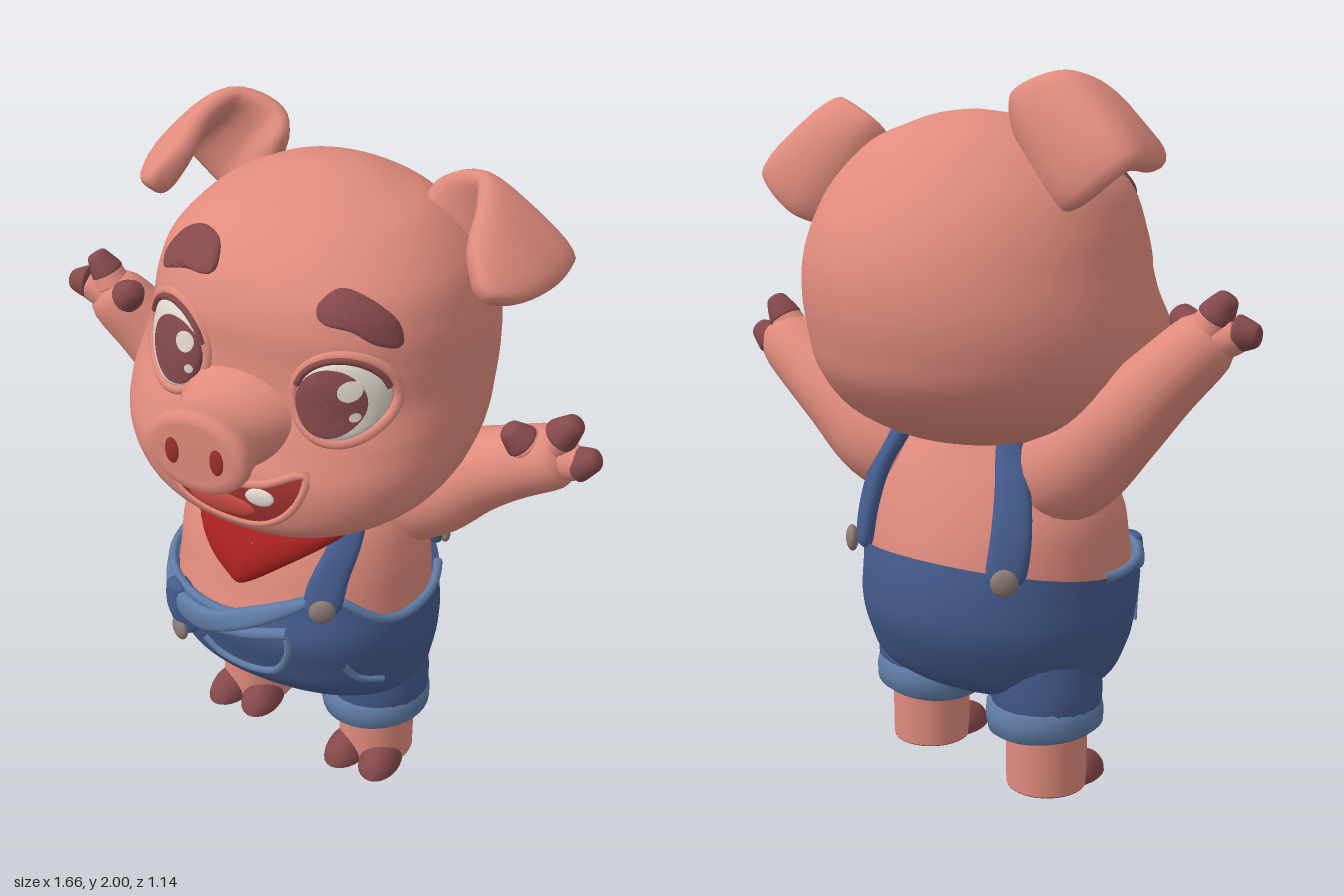
import * as THREE from 'three';
import { ParametricGeometry } from 'three/addons/geometries/ParametricGeometry.js';

const paint = (name, color, side = THREE.FrontSide) => {
  const m = new THREE.MeshStandardMaterial({ color, side });
  m.name = name;
  return m;
};
const V = (x, y, z) => new THREE.Vector3(x, y, z);
const TAU = Math.PI * 2;
const spow = (a, e) => Math.sign(a) * Math.pow(Math.abs(a), e);

// Smooth interpolation through table rows, t in 0..1
function sample(rows, t) {
  const n = rows.length, f = THREE.MathUtils.clamp(t, 0, 1) * (n - 1);
  const i = Math.min(Math.floor(f), n - 2), k = f - i;
  const at = j => rows[Math.min(Math.max(j, 0), n - 1)];
  return rows[0].map((_, c) => {
    const p0 = at(i - 1)[c], p1 = at(i)[c], p2 = at(i + 1)[c], p3 = at(i + 2)[c];
    const a = (p2 - p0) / 2, b = (p3 - p1) / 2;
    return (2 * p1 - 2 * p2 + a + b) * k ** 3 + (-3 * p1 + 3 * p2 - 2 * a - b) * k * k + a * k + p1;
  });
}
function sectionAt(rows, y) {
  let lo = 0, hi = 1;
  for (let i = 0; i < 22; i++) {
    const m = (lo + hi) / 2;
    if (sample(rows, m)[0] < y) lo = m; else hi = m;
  }
  return sample(rows, lo);
}
// Point on a horizontal section [y, xMin, xMax, zFront, zBack, frontSquareness]
function onSection([y, x0, x1, zf, zb, n], th, inset = 0) {
  const c = Math.cos(th), s = Math.sin(th), e = 2 / (s > 0 ? n : 2);
  return V((x0 + x1) / 2 + ((x1 - x0) / 2 - inset) * spow(c, e), y, (zf + zb) / 2 + ((zf - zb) / 2 - inset) * spow(s, e));
}
const frontOf = rows => (x, y) => {
  const [, x0, x1, zf, zb, n] = sectionAt(rows, y);
  const d = Math.min(Math.abs(x - (x0 + x1) / 2) / ((x1 - x0) / 2), 0.99);
  return (zf + zb) / 2 + (zf - zb) / 2 * Math.pow(1 - Math.pow(d, n), 1 / n);
};

const HEAD = [
  [0.955, 0.02, 0.0204, 0.08, 0.0796, 2], [0.97, -0.12, 0.17, 0.25, -0.1, 2.1], [1.0, -0.24, 0.29, 0.35, -0.26, 2.2],
  [1.04, -0.34, 0.38, 0.41, -0.36, 2.4], [1.1, -0.43, 0.45, 0.435, -0.45, 2.5], [1.2, -0.48, 0.485, 0.435, -0.53, 2.6],
  [1.3, -0.49, 0.49, 0.395, -0.56, 2.6], [1.4, -0.475, 0.49, 0.355, -0.572, 2.4], [1.5, -0.45, 0.485, 0.34, -0.56, 2.4],
  [1.6, -0.425, 0.465, 0.33, -0.52, 2.4], [1.7, -0.38, 0.42, 0.285, -0.45, 2.4], [1.8, -0.28, 0.32, 0.185, -0.35, 2.1],
  [1.85, -0.18, 0.2, 0.07, -0.27, 2], [1.878, -0.1, 0.11, -0.03, -0.19, 2], [1.89, 0.01, 0.0104, -0.1, -0.1004, 2]];
const BODY = [
  [0.25, -0.02, -0.0196, -0.08, -0.0804], [0.265, -0.21, 0.18, 0.05, -0.21], [0.31, -0.365, 0.34, 0.175, -0.3],
  [0.4, -0.41, 0.38, 0.27, -0.36], [0.5, -0.425, 0.39, 0.31, -0.4], [0.6, -0.425, 0.385, 0.335, -0.405],
  [0.7, -0.42, 0.38, 0.31, -0.39], [0.8, -0.41, 0.37, 0.28, -0.36], [0.9, -0.36, 0.34, 0.24, -0.32],
  [1.0, -0.27, 0.27, 0.18, -0.27], [1.1, -0.2, 0.2, 0.12, -0.22]].map(r => [...r, 2.2]);
const headZ = frontOf(HEAD), bodyZ = frontOf(BODY);

export function createModel() {
  const skin = paint('pink skin', 0xe08b7d), brown = paint('hoof brown', 0x85494b);
  const white = paint('eye white', 0xe0d8d0), mouthRed = paint('mouth red', 0x9c302e);
  const tongueRed = paint('tongue red', 0xc84a44), red = paint('scarf red', 0xac2121);
  const denim = paint('denim blue', 0x455c8e, THREE.DoubleSide), pale = paint('pale denim', 0x607ca6);
  const metal = paint('button grey', 0x8a7a75);
  const root = new THREE.Group();

  const add = (name, mat, geo) => {
    const m = new THREE.Mesh(geo, mat);
    m.name = name;
    root.add(m);
    return m;
  };
  const surface = (name, mat, f, us, vs) => add(name, mat, new ParametricGeometry((u, v, p) => p.copy(f(u, v)), us, vs));

  // Closed outline (counterclockwise) laid on a front surface as a thin domed patch
  function patch(name, mat, zAt, outline, off, bulge = 0) {
    const curve = new THREE.CatmullRomCurve3(outline.map(([x, y]) => V(x, y, 0)), true);
    const c = outline.reduce((s, [x, y]) => s.add(V(x, y, 0)), V(0, 0, 0)).divideScalar(outline.length);
    return surface(name, mat, (u, v) => {
      const skirt = Math.min(v / 0.15, 1), r = Math.max(0.01, 1 - Math.max(0, v - 0.15) / 0.85);
      const p = curve.getPoint(u).lerp(c, 1 - r);
      p.z = zAt(p.x, p.y) - 0.01 + (off + 0.01) * skirt + bulge * Math.sqrt(1 - r * r);
      return p;
    }, 40, 13);
  }
  const oval = (x, y, rx, ry, n = 10) => Array.from({ length: n }, (_, i) => [x + rx * Math.cos(i / n * TAU), y + ry * Math.sin(i / n * TAU)]);

  // Flat padded strip between two edge curves
  function ribbon(name, mat, A, B, thick) {
    const a = new THREE.CatmullRomCurve3(A), b = new THREE.CatmullRomCurve3(B);
    const mid = t => a.getPoint(t).add(b.getPoint(t)).multiplyScalar(0.5);
    return surface(name, mat, (u, v) => {
      const half = b.getPoint(v).sub(a.getPoint(v)).multiplyScalar(0.5);
      const tan = mid(Math.min(v + 0.02, 1)).sub(mid(Math.max(v - 0.02, 0)));
      const n = half.clone().cross(tan).normalize();
      const k = Math.sqrt(Math.max(0, 1 - Math.abs(2 * v - 1) ** 16)) + 0.01, ph = -u * TAU;
      return mid(v).addScaledVector(half, k * spow(Math.cos(ph), 0.75)).addScaledVector(n, k * thick * spow(Math.sin(ph), 0.75));
    }, 20, 28);
  }
  // Strap hugging the body through [angle, height] points
  const strap = (name, path, half, thick) => {
    const edge = s => path.map(([th, y]) => onSection(sectionAt(BODY, y), th + s * half, -0.008));
    return ribbon(name, denim, edge(-1), edge(1), thick);
  };

  // Round limb through rows of [x, y, z, radius]
  const limb = (name, mat, rows) => surface(name, mat, (u, v) => {
    const [x, y, z, r] = sample(rows, v);
    const q = sample(rows, v + 0.02), o = sample(rows, v - 0.02);
    const t = V(q[0] - o[0], q[1] - o[1], q[2] - o[2]).normalize();
    const n1 = V(0, 0, 1).cross(t).normalize(), n2 = t.clone().cross(n1);
    const k = r * (Math.sqrt(Math.max(0, 1 - Math.abs(2 * v - 1) ** 12)) + 0.01);
    return V(x, y, z).addScaledVector(n1, k * Math.cos(u * TAU)).addScaledVector(n2, k * Math.sin(u * TAU));
  }, 24, 24);
  const rope = (name, mat, pts, r, closed = false) =>
    add(name, mat, new THREE.TubeGeometry(new THREE.CatmullRomCurve3(pts, closed), 40, r, 8, closed));
  const ball = (name, mat, pos, scale, turn = 0) => {
    const m = add(name, mat, new THREE.SphereGeometry(1, 24, 16));
    m.position.set(...pos);
    m.scale.set(...scale);
    m.rotation.y = turn;
    return m;
  };

  // Head and snout
  surface('head', skin, (u, v) => onSection(sample(HEAD, v), -u * TAU), 64, 56);
  const snoutProfile = [[0.2, 0.3], [0.172, 0.35], [0.148, 0.4], [0.135, 0.45], [0.139, 0.5], [0.15, 0.53], [0.149, 0.552],
    [0.135, 0.566], [0.11, 0.567], [0, 0.567]].map(p => new THREE.Vector2(...p));
  const snout = add('snout', skin, new THREE.LatheGeometry(snoutProfile, 40).rotateX(Math.PI / 2));
  snout.scale.y = 0.77;
  snout.position.set(-0.015, 1.337, 0);
  for (const x of [-0.078, 0.052]) ball('nostril', mouthRed, [x, 1.337, 0.567], [0.02, 0.038, 0.006]);

  // Mouth
  const lips = [[0.205, 1.245], [0.1, 1.205], [0, 1.19], [-0.1, 1.205], [-0.215, 1.25], [-0.195, 1.18], [-0.13, 1.115], [-0.02, 1.085], [0.1, 1.093], [0.18, 1.155]];
  patch('mouth', mouthRed, headZ, lips, 0.004);
  rope('lips', skin, lips.map(([x, y]) => V(x * 1.04, (y - 1.17) * 1.08 + 1.17, headZ(x, y) - 0.003)), 0.012, true);
  patch('tongue', tongueRed, headZ, oval(-0.015, 1.125, 0.1, 0.032), 0.006, 0.008);
  patch('tooth', white, headZ, oval(0.1, 1.173, 0.04, 0.024), 0.008, 0.006);

  // Eyes: white, iris, glints, lids
  for (const [x, y, rx, ry, ix, gx] of [[-0.227, 1.482, 0.108, 0.112, -0.207, -0.167], [0.262, 1.445, 0.108, 0.105, 0.245, 0.295]]) {
    const eyeZ = (px, py) => headZ(px, py) + 0.005 + 0.03 * Math.sqrt(Math.max(0, 1 - ((px - x) / rx) ** 2 - ((py - y) / ry) ** 2));
    patch('eyeWhite', white, headZ, oval(x, y, rx, ry), 0.005, 0.03);
    patch('iris', brown, eyeZ, oval(ix, y - 0.004, 0.087, 0.09), 0.005);
    patch('glint', white, eyeZ, oval(gx, y + 0.036, 0.027, 0.027), 0.009);
    patch('smallGlint', white, eyeZ, oval(gx + 0.015, y - 0.035, 0.012, 0.012), 0.009);
    const rim = (k, a0, a1, n, off) => Array.from({ length: n }, (_, i) => {
      const a = a0 + (a1 - a0) * i / (n - 1), px = x + rx * k * Math.cos(a), py = y + ry * k * Math.sin(a);
      return V(px, py, headZ(px, py) + off);
    });
    rope('eyelid', skin, rim(1.1, 0, TAU * 15 / 16, 16, -0.005), 0.016, true);
    rope('lashLine', brown, rim(1.03, 0.3, Math.PI - 0.3, 10, 0.012), 0.009);
  }
  patch('rightBrow', brown, headZ, [[-0.115, 1.7], [-0.13, 1.752], [-0.2, 1.764], [-0.28, 1.73], [-0.315, 1.67], [-0.3, 1.65], [-0.265, 1.662], [-0.2, 1.685]], 0.012, 0.022);
  patch('leftBrow', brown, headZ, [[0.38, 1.58], [0.363, 1.64], [0.295, 1.695], [0.22, 1.715], [0.188, 1.685], [0.2, 1.65], [0.28, 1.628], [0.345, 1.588]], 0.012, 0.022);

  // Folded ears
  const earIn = [[0.25, 1.79, -0.13], [0.295, 1.86, -0.19], [0.4, 1.9, -0.165], [0.45, 1.87, -0.07], [0.465, 1.79, 0.02], [0.51, 1.7, 0.08]];
  const earOut = [[0.41, 1.54, -0.19], [0.54, 1.59, -0.255], [0.65, 1.68, -0.235], [0.655, 1.67, -0.12], [0.61, 1.665, 0.01], [0.55, 1.675, 0.08]];
  ribbon('leftEar', skin, earIn.map(p => V(...p)), earOut.map(p => V(...p)), 0.04);
  const flip = ([x, y, z]) => V(0.11 - x, y + 0.093, z - 0.01);
  ribbon('rightEar', skin, earIn.map(flip), earOut.map(flip), 0.04);

  // Torso and arms
  surface('torso', skin, (u, v) => onSection(sectionAt(BODY, 0.5 + 0.58 * v), -u * TAU, 0.022), 48, 20);
  limb('rightArm', skin, [[-0.2, 0.87, -0.1, 0.13], [-0.33, 0.97, -0.12, 0.145], [-0.47, 1.1, -0.13, 0.12], [-0.59, 1.23, -0.11, 0.1], [-0.715, 1.365, -0.07, 0.09]]);
  limb('leftArm', skin, [[0.18, 0.87, -0.1, 0.13], [0.33, 0.95, -0.12, 0.145], [0.47, 1.045, -0.13, 0.12], [0.6, 1.12, -0.12, 0.1], [0.74, 1.2, -0.09, 0.09]]);
  const fingers = [
    [[-0.7, 1.33, -0.08], [-0.77, 1.36, -0.065], [-0.825, 1.358, -0.06]], [[-0.69, 1.36, -0.08], [-0.712, 1.405, -0.08], [-0.745, 1.458, -0.075]],
    [[-0.65, 1.32, -0.07], [-0.615, 1.36, -0.045], [-0.575, 1.398, -0.03]], [[0.72, 1.17, -0.1], [0.77, 1.175, -0.1], [0.823, 1.207, -0.1]],
    [[0.68, 1.2, -0.1], [0.715, 1.25, -0.1], [0.757, 1.304, -0.095]], [[0.64, 1.19, -0.09], [0.615, 1.225, -0.06], [0.58, 1.264, -0.04]]];
  for (const [a, b, c] of fingers) {
    limb('finger', skin, [[...a, 0.055], [...b, 0.046]]);
    limb('fingerHoof', brown, [[...b.map((q, i) => q - (c[i] - q) * 0.2), 0.042], [...b, 0.048], [...c, 0.027]]);
  }

  // Overalls with an uneven waist
  const waist = th => 0.64 + 0.06 * Math.max(0, -Math.sin(th)) ** 1.5 + 0.11 * Math.exp(-(((th - 1.05) / 0.4) ** 2));
  surface('overalls', denim, (u, v) => {
    const th = Math.PI * 1.5 - u * TAU;
    return onSection(sectionAt(BODY, 0.25 + (waist(th) - 0.25) * v), th);
  }, 72, 30);
  rope('waistRim', pale, Array.from({ length: 24 }, (_, i) => {
    const th = -0.4 + i / 23 * (Math.PI + 0.6);
    return onSection(sectionAt(BODY, waist(th)), th, 0.004);
  }), 0.014);

  // Folded bib, hanging clasp, pockets
  const onBody = off => ([x, y]) => V(x, y, bodyZ(x, y) + off);
  ribbon('bibFold', pale, [[-0.42, 0.645], [-0.3, 0.64], [-0.15, 0.64], [0, 0.7], [0.17, 0.765]].map(onBody(0.015)),
    [[-0.41, 0.605], [-0.3, 0.575], [-0.18, 0.555], [0, 0.635], [0.17, 0.73]].map(onBody(0.015)), 0.02);
  strap('hangingClasp', [[2.22, 0.65], [2.22, 0.58], [2.13, 0.49]], 0.11, 0.035);
  rope('frontPocket', pale, [[0.11, 0.635], [0.11, 0.56], [0.06, 0.475], [-0.03, 0.45], [-0.13, 0.465], [-0.18, 0.5]].map(onBody(0.003)), 0.012);
  rope('pocketHem', pale, [[-0.13, 0.585], [0, 0.615], [0.11, 0.64]].map(onBody(0.006)), 0.018);
  for (const pts of [[[0.25, 0.525], [0.28, 0.465], [0.33, 0.435]], [[-0.34, 0.56], [-0.35, 0.5], [-0.38, 0.44]]])
    rope('sidePocket', pale, pts.map(onBody(0.002)), 0.011);

  // Straps and buttons
  strap('leftFrontStrap', [[1.06, 0.7], [1.02, 0.8], [0.9, 0.9], [0.68, 1.0], [0.55, 1.07]], 0.15, 0.024);
  strap('leftBackStrap', [[-0.72, 0.65], [-0.74, 0.78], [-0.76, 0.9], [-0.78, 1.0], [-0.7, 1.07]], 0.145, 0.024);
  strap('rightBackStrap', [[-2.15, 0.65], [-2.17, 0.78], [-2.21, 0.9], [-2.28, 1.0], [-2.35, 1.07]], 0.145, 0.024);
  for (const [th, y] of [[1.06, 0.735], [2.13, 0.5], [-0.72, 0.68], [-2.15, 0.68]])
    ball('button', metal, onSection(sectionAt(BODY, y), th, -0.038).toArray(), [0.038, 0.038, 0.018], Math.PI / 2 - th);

  // Neckerchief
  patch('neckerchief', red, bodyZ, [[0.28, 1.0], [0.15, 1.04], [-0.15, 1.04], [-0.285, 1.02], [-0.25, 0.94], [-0.17, 0.845], [-0.08, 0.785], [-0.045, 0.768], [-0.01, 0.782],
    [0.09, 0.85], [0.19, 0.915], [0.26, 0.96]], 0.03, 0.05);

  // Legs, cuffs and cloven feet
  const cuffProfile = [[0.1, -0.05], [0.145, -0.052], [0.164, -0.038], [0.168, 0], [0.163, 0.038], [0.145, 0.05], [0.1, 0.05]].map(p => new THREE.Vector2(...p));
  for (const [side, x, z] of [['left', 0.225, -0.04], ['right', -0.24, -0.12]]) {
    limb(side + 'TrouserLeg', denim, [[x, 0.19, z, 0.14], [x * 0.99, 0.29, z, 0.158], [x * 0.85, 0.46, z, 0.16]]);
    const cuff = add(side + 'Cuff', pale, new THREE.LatheGeometry(cuffProfile, 36));
    cuff.position.set(x * 0.97, 0.222, z);
    cuff.rotation.z = Math.sign(x) * 0.09;
    add(side + 'Leg', skin, new THREE.CylinderGeometry(0.116, 0.115, 0.297, 36, 1, true)).position.set(x, 0.1515, z);
    add(side + 'Sole', brown, new THREE.CylinderGeometry(0.114, 0.114, 0.003, 36)).position.set(x, 0.0015, z);
    for (const s of [-1, 1]) {
      const toe = new THREE.SphereGeometry(1, 24, 16).scale(0.064, 0.074, 0.1);
      const pos = toe.attributes.position;
      for (let i = 0; i < pos.count; i++) pos.setY(i, Math.max(pos.getY(i), 0));
      toe.computeVertexNormals();
      const m = add(side + 'Toe', brown, toe);
      m.position.set(x + s * 0.055, 0, z + 0.078);
      m.rotation.y = s * 0.12;
    }
  }
  return root;
}
